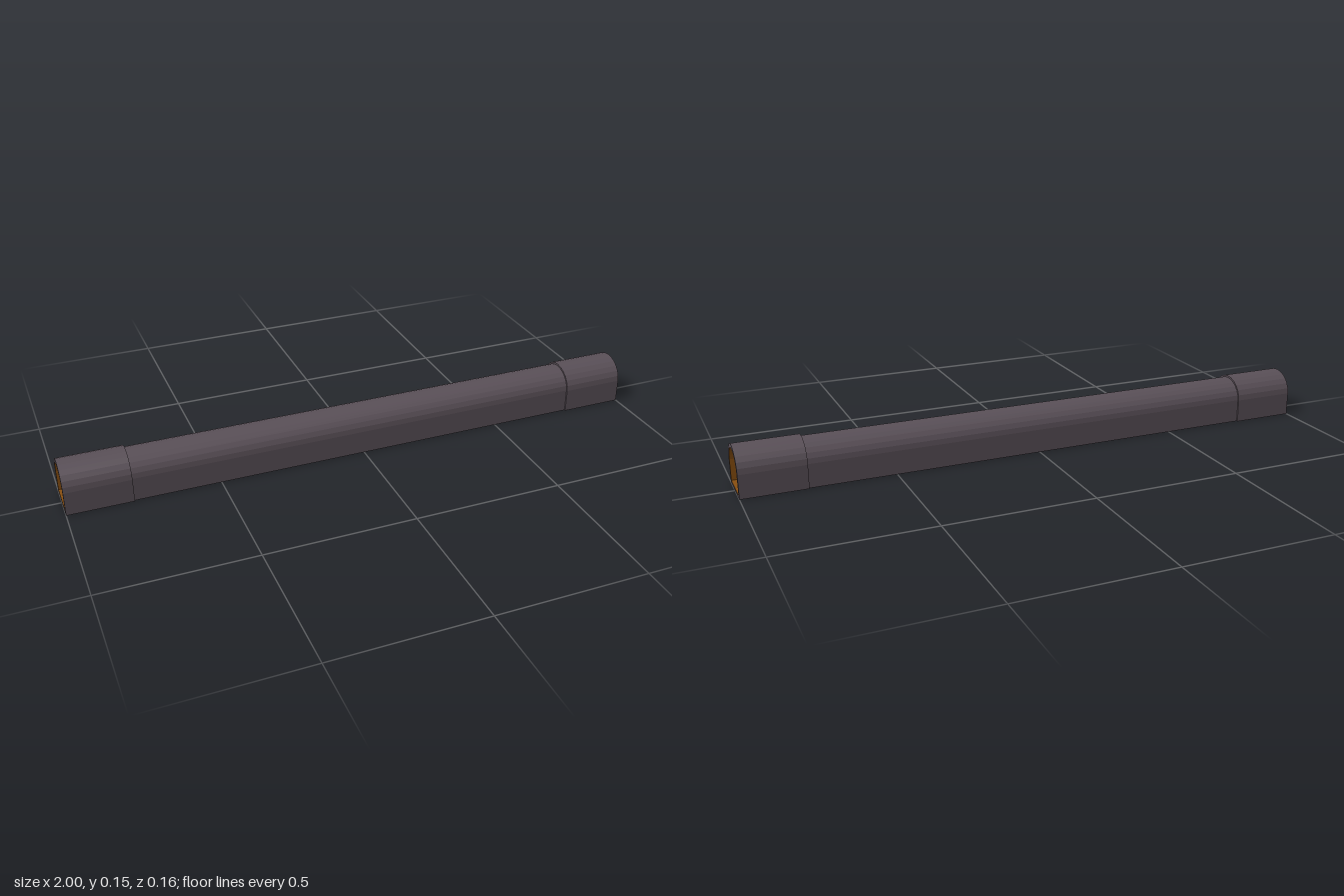
import * as THREE from 'three';

// Arched cross-section: straight walls, elliptical vault, flat floor (closed loop of [z, y])
function archProfile(half, floor, spring, top, segments = 12) {
  const points = [[half, floor]];
  for (let i = 0; i <= segments; i++) {
    const a = (i / segments) * Math.PI;
    points.push([half * Math.cos(a), spring + (top - spring) * Math.sin(a)]);
  }
  points.push([-half, floor]);
  return points;
}

// Faceted surface between two matching loops placed at xA and xB
function bridge(loopA, xA, loopB, xB, flip = false) {
  const positions = [];
  const n = loopA.length;
  for (let i = 0; i < n; i++) {
    const j = (i + 1) % n;
    const a = [xA, loopA[i][1], loopA[i][0]];
    const b = [xB, loopB[i][1], loopB[i][0]];
    const c = [xB, loopB[j][1], loopB[j][0]];
    const d = [xA, loopA[j][1], loopA[j][0]];
    const corners = flip ? [a, c, b, a, d, c] : [a, b, c, a, c, d];
    positions.push(...corners.flat());
  }
  const geometry = new THREE.BufferGeometry();
  geometry.setAttribute('position', new THREE.Float32BufferAttribute(positions, 3));
  geometry.computeVertexNormals();
  return geometry;
}

export function createModel() {
  const model = new THREE.Group();
  model.name = 'archedTunnel';

  const shellMaterial = new THREE.MeshStandardMaterial({ color: 0x5a5058 });
  shellMaterial.name = 'dark grey shell';
  const liningMaterial = new THREE.MeshStandardMaterial({ color: 0x8a5010 });
  liningMaterial.name = 'brown lining';

  const collar = archProfile(0.078, 0, 0.08, 0.152);
  const body = archProfile(0.073, 0, 0.08, 0.146);
  const inner = archProfile(0.066, 0.009, 0.08, 0.139);
  const end = 1;
  const step = 0.785;

  const add = (parent, name, geometry, material) => {
    const mesh = new THREE.Mesh(geometry, material);
    mesh.name = name;
    parent.add(mesh);
  };

  // Long middle shell and the lining running through the whole tunnel
  add(model, 'middleShell', bridge(body, -step, body, step), shellMaterial);
  add(model, 'innerLining', bridge(inner, -end, inner, end, true), liningMaterial);

  // Thicker collar at each end, with its step and the rim of the opening
  for (const side of [-1, 1]) {
    const group = new THREE.Group();
    group.name = side > 0 ? 'leftCollar' : 'rightCollar';
    const flip = side < 0;
    add(group, 'collarShell', bridge(collar, side * step, collar, side * end, flip), shellMaterial);
    add(group, 'collarStep', bridge(body, side * step, collar, side * step, flip), shellMaterial);
    add(group, 'openingRim', bridge(collar, side * end, inner, side * end, flip), shellMaterial);
    model.add(group);
  }

  return model;
}
